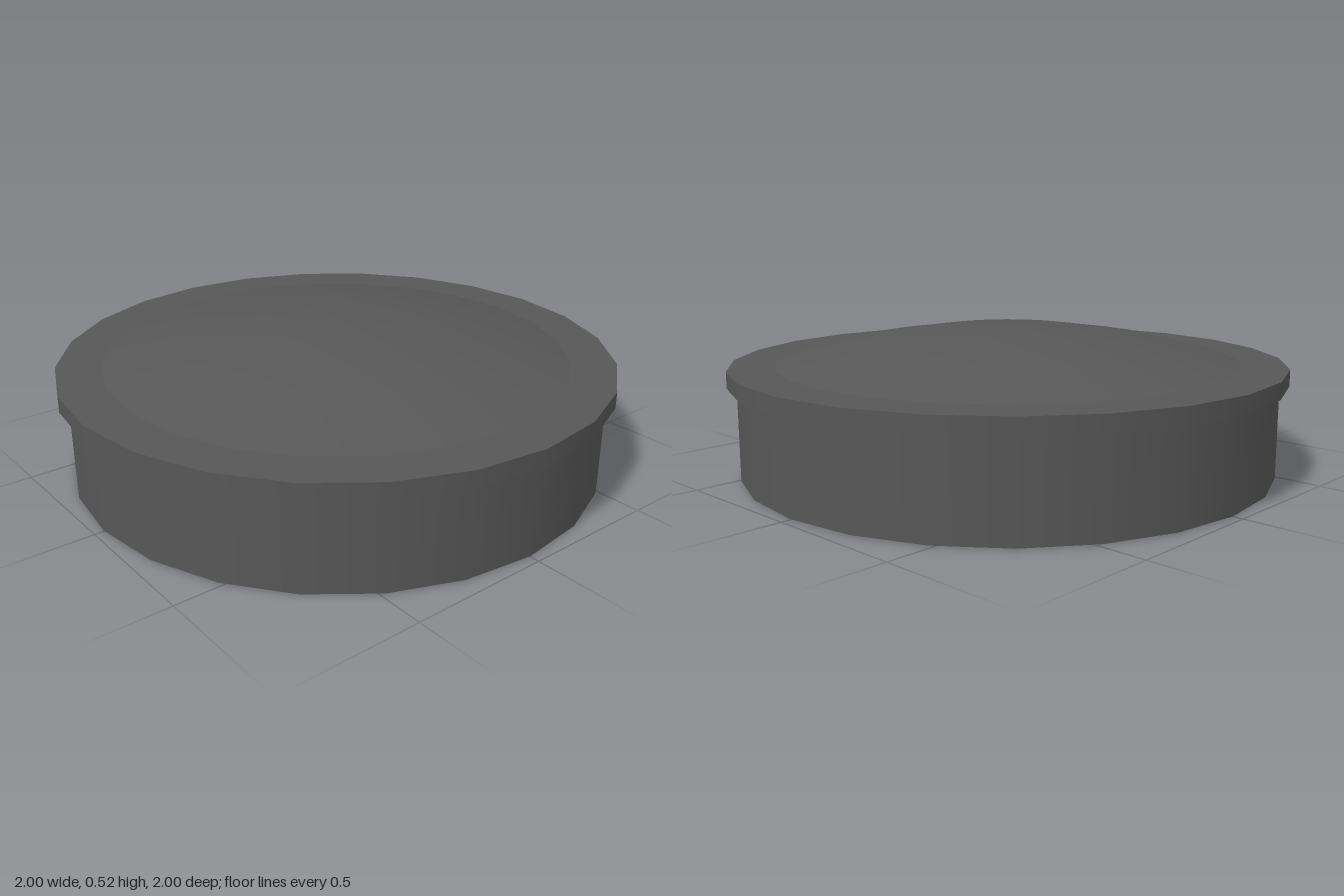
import * as THREE from 'three';

const SIDES = 24;

export function createModel() {
  const group = new THREE.Group();

  const darkGrey = new THREE.MeshStandardMaterial({ color: 0x575757 });
  darkGrey.name = 'darkGrey';
  const midGrey = new THREE.MeshStandardMaterial({ color: 0x7a7a7a });
  midGrey.name = 'midGrey';

  // Each band is lathed on its own so the edges between bands stay sharp.
  function band(name, material, points) {
    const profile = points.map(([r, y]) => new THREE.Vector2(r, y));
    const mesh = new THREE.Mesh(new THREE.LatheGeometry(profile, SIDES), material);
    mesh.name = name;
    group.add(mesh);
  }

  // Underside: recessed floor, its wall and the flat base ring
  band('recessFloor', darkGrey, [[0, 0.066], [0.84, 0.066]]);
  band('recessWall', darkGrey, [[0.84, 0.066], [0.84, 0]]);
  band('baseRing', midGrey, [[0.84, 0], [0.967, 0]]);

  // Drum body
  band('bodyWall', darkGrey, [[0.967, 0], [0.967, 0.328]]);

  // Overhanging lip
  band('lipUnderside', darkGrey, [[0.967, 0.328], [1, 0.328]]);
  band('lipSide', darkGrey, [[1, 0.328], [1, 0.387]]);
  band('lipTop', darkGrey, [[1, 0.387], [0.84, 0.387]]);

  // Shallow domed cap
  band('dome', darkGrey, [[0.84, 0.387], [0.565, 0.457], [0.285, 0.5], [0, 0.515]]);

  // Screw heads under the base ring, one at the middle of each side
  const screwGeometry = new THREE.CircleGeometry(0.012, 8).rotateX(Math.PI / 2);
  for (let i = 0; i < SIDES; i++) {
    const angle = ((i + 0.5) / SIDES) * Math.PI * 2;
    const screw = new THREE.Mesh(screwGeometry, darkGrey);
    screw.name = 'screw';
    screw.position.set(Math.sin(angle) * 0.905, -0.002, Math.cos(angle) * 0.905);
    group.add(screw);
  }

  return group;
}
